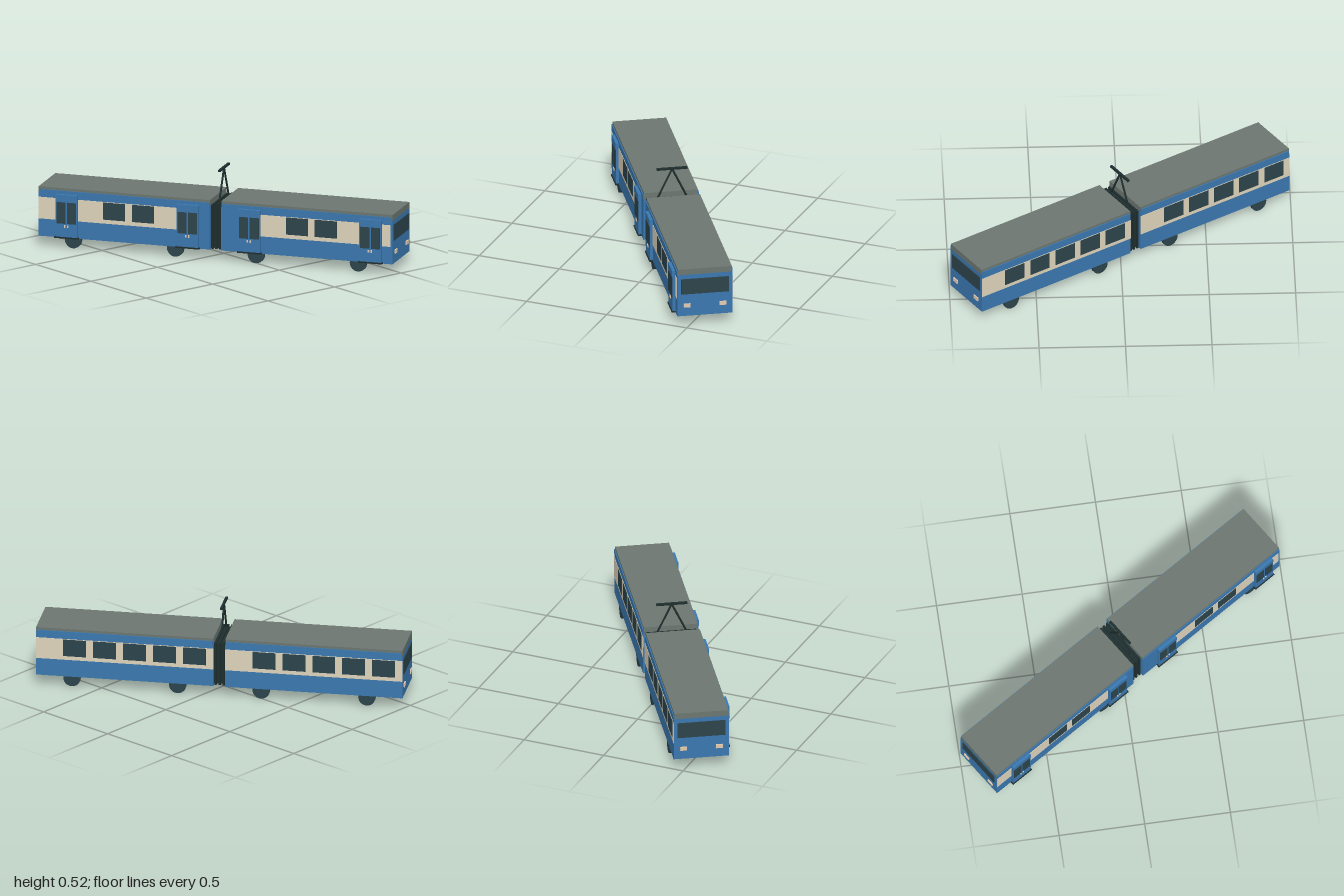
import * as THREE from 'three';

const mat = (name, color) => Object.assign(new THREE.MeshStandardMaterial({ color }), { name });

export function createModel() {
  const blue = mat('body blue', 0x3a78b0);
  const cream = mat('cream', 0xdfd4bd);
  const grey = mat('roof grey', 0x6c766f);
  const glass = mat('dark glass', 0x2c444b);
  const dark = mat('bellows black', 0x1f2e2e);
  const lamp = mat('lamp', 0xe3ccb0);

  // Box given by its min and max on each axis
  const box = (parent, name, m, x0, x1, y0, y1, z0, z1) => {
    const mesh = new THREE.Mesh(new THREE.BoxGeometry(x1 - x0, y1 - y0, z1 - z0), m);
    mesh.position.set((x0 + x1) / 2, (y0 + y1) / 2, (z0 + z1) / 2);
    mesh.name = name;
    parent.add(mesh);
    return mesh;
  };

  const H = 0.52; // half length of a car
  const W = 0.162; // half width

  // Door unit standing proud of the -x side
  const addDoor = (car, z) => {
    const door = new THREE.Group();
    door.name = 'door';
    door.position.z = z;
    box(door, 'doorPanel', blue, -0.179, -0.15, 0.066, 0.28, -0.066, 0.066);
    box(door, 'doorHeader', blue, -0.182, -0.15, 0.28, 0.32, -0.066, 0.066);
    box(door, 'doorStep', dark, -0.184, -0.15, 0.06, 0.068, -0.072, 0.072);
    for (const s of [-1, 1]) {
      box(door, 'doorWindow', glass, -0.182, -0.178, 0.148, 0.275, s * 0.032 - 0.027, s * 0.032 + 0.027);
      box(door, 'doorHandle', lamp, -0.183, -0.178, 0.125, 0.14, s * 0.009 - 0.004, s * 0.009 + 0.004);
    }
    car.add(door);
  };

  // One car; end = +1 or -1 tells which end carries the cab
  const makeCar = (name, end) => {
    const car = new THREE.Group();
    car.name = name;
    car.position.z = end * 0.555;
    box(car, 'body', blue, -W, W, 0.06, 0.319, -H, H);
    box(car, 'roof', grey, -0.158, 0.158, 0.319, 0.354, -H, H);
    for (const s of [-1, 1])
      box(car, 'roofRail', blue, s * 0.1605 - 0.003, s * 0.1605 + 0.003, 0.315, 0.339, -H + 0.003, H - 0.003);

    // Cream bands
    box(car, 'rightBand', cream, W - 0.002, W + 0.002, 0.164, 0.293, -H, H);
    const [b0, b1] = end > 0 ? [-0.345, 0.508] : [-H, 0.39];
    box(car, 'leftBand', cream, -W - 0.002, -W + 0.002, 0.164, 0.293, b0, b1);

    // Side windows
    for (let i = 0; i < 5; i++) {
      const z = 0.292 - i * 0.1755;
      box(car, 'sideWindow', glass, W - 0.002, W + 0.005, 0.188, 0.29, z - 0.067, z + 0.067);
      if (i === 1 || i === 2)
        box(car, 'sideWindow', glass, -W - 0.005, -W + 0.002, 0.188, 0.29, z - 0.067, z + 0.067);
    }
    addDoor(car, -0.345);
    addDoor(car, 0.39);

    // Cab windscreen and lamps
    const face = end * H;
    box(car, 'windscreen', glass, -0.14, 0.14, 0.197, 0.292, face - 0.004, face + 0.004);
    for (const s of [-1, 1])
      box(car, 'headlamp', lamp, s * 0.105 - 0.02, s * 0.105 + 0.02, 0.115, 0.138, face - 0.007, face + 0.007);

    // Wheels
    const wheelGeo = new THREE.CylinderGeometry(0.05, 0.05, 0.02, 24).rotateZ(Math.PI / 2);
    for (const s of [-1, 1]) for (const z of [-0.31, 0.31]) {
      const wheel = new THREE.Mesh(wheelGeo, glass);
      wheel.name = 'wheel';
      wheel.position.set(s * 0.15, 0.05, z);
      car.add(wheel);
    }
    return car;
  };

  const tram = new THREE.Group();
  tram.name = 'tram';
  tram.add(makeCar('frontCar', 1), makeCar('rearCar', -1));

  // Folding joint between the cars
  box(tram, 'bellowsCore', dark, -0.138, 0.138, 0.07, 0.315, -0.036, 0.036);
  for (const z of [-0.024, 0, 0.024])
    box(tram, 'bellowsFold', dark, -0.148, 0.148, 0.062, 0.325, z - 0.006, z + 0.006);

  // Current collector above the joint
  const collector = new THREE.Group();
  collector.name = 'currentCollector';
  for (const s of [-1, 1]) {
    const a = new THREE.Vector3(s * 0.085, 0.335, 0);
    const b = new THREE.Vector3(0, 0.512, 0);
    const arm = new THREE.Mesh(new THREE.CylinderGeometry(0.006, 0.006, a.distanceTo(b), 8), dark);
    arm.name = 'collectorArm';
    arm.position.copy(a).lerp(b, 0.5);
    arm.quaternion.setFromUnitVectors(new THREE.Vector3(0, 1, 0), b.clone().sub(a).normalize());
    collector.add(arm);
  }
  box(collector, 'collectorBar', dark, -0.09, 0.09, 0.508, 0.52, -0.007, 0.007);
  tram.add(collector);

  // The vehicle stands diagonally
  tram.rotation.y = THREE.MathUtils.degToRad(32.4);
  const model = new THREE.Group();
  model.name = 'articulatedTram';
  model.add(tram);
  return model;
}
